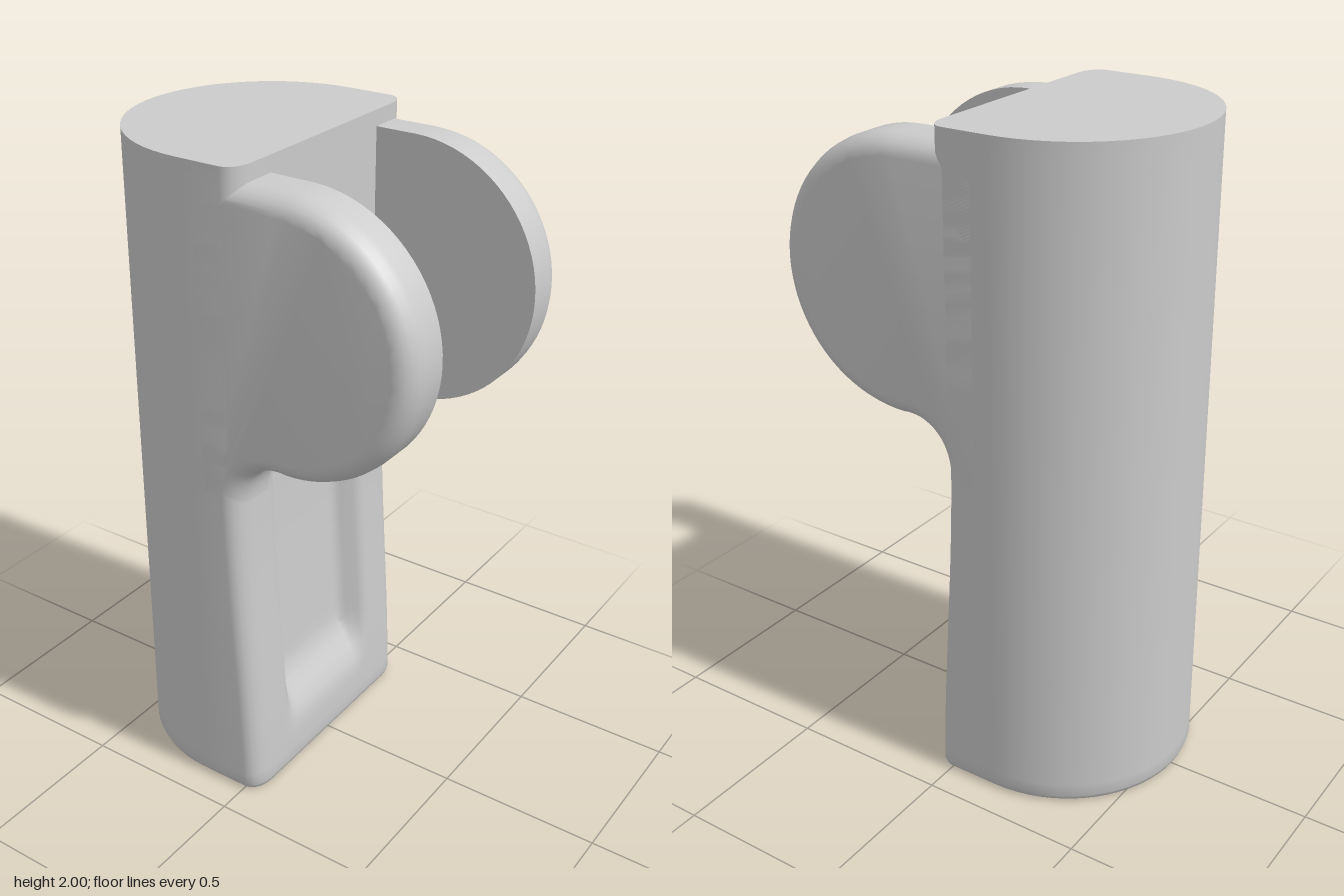
import * as THREE from 'three';
import { mergeVertices, toCreasedNormals } from 'three/addons/utils/BufferGeometryUtils.js';

const material = new THREE.MeshStandardMaterial({ color: 0xcccccc });
const smooth = THREE.MathUtils.smoothstep;

// Position of the flat front face: flared foot, slight step under the slot, shallow pocket
function frontX(y, z) {
  const face = 0.055 - 0.052 * smooth(y, -0.1, 1.1) + 0.027 * smooth(y, 1.06, 1.16);
  const tall = smooth(y, 0.14, 0.32) * (1 - smooth(y, 1.05, 1.155));
  const wide = 1 - smooth(Math.abs(z), 0.165, 0.225);
  return face - 0.07 * tall * wide;
}

// D-shaped section, counterclockwise seen from above
function section(y) {
  const pts = [], flat = 0.33, r = 0.07, rx = 0.05;
  const edge = frontX(y, 0.4);
  for (let i = 0; i <= 32; i++) {
    const z = flat - (2 * flat * i) / 32;
    pts.push([frontX(y, z), z]);
  }
  for (let i = 1; i <= 5; i++) {
    const a = (i / 5) * Math.PI / 2;
    pts.push([edge - rx + rx * Math.cos(a), -flat - r * Math.sin(a)]);
  }
  for (let i = 0; i <= 32; i++) {
    const a = Math.PI / 2 + (i / 32) * Math.PI;
    pts.push([-0.16 + 0.4 * Math.cos(a), -0.4 * Math.sin(a)]);
  }
  for (let i = 5; i >= 1; i--) {
    const a = (i / 5) * Math.PI / 2;
    pts.push([edge - rx + rx * Math.cos(a), flat + r * Math.sin(a)]);
  }
  return pts;
}

function bodyGeometry() {
  const levels = [0, 0.006, 0.02];
  for (let i = 1; i <= 50; i++) levels.push(0.02 + (1.98 * i) / 50);
  const pos = [], index = [];
  const n = section(0).length;
  levels.forEach((y, j) => {
    const s = [0.96, 0.985][j] ?? 1; // softened foot edge
    for (const [x, z] of section(y)) pos.push(-0.2 + (x + 0.2) * s, y, z * s);
  });
  for (let j = 0; j < levels.length - 1; j++) {
    for (let i = 0; i < n; i++) {
      const k = (i + 1) % n;
      const a = j * n + i, b = j * n + k, c = b + n, d = a + n;
      index.push(a, b, c, a, c, d);
    }
  }
  // End caps
  const top = (levels.length - 1) * n, mid = pos.length / 3;
  pos.push(-0.2, 0, 0, -0.2, 2, 0);
  for (let i = 0; i < n; i++) {
    const k = (i + 1) % n;
    index.push(mid, k, i, mid + 1, top + i, top + k);
  }
  const g = new THREE.BufferGeometry();
  g.setAttribute('position', new THREE.Float32BufferAttribute(pos, 3));
  g.setIndex(index);
  return toCreasedNormals(g, 0.75);
}

// Round cheek: flat on its inner side, rounded rim on its outer side
function cheekGeometry(side) {
  const shape = new THREE.Shape();
  shape.moveTo(-0.16, 0.95);
  shape.lineTo(0, 0.95);
  shape.lineTo(0.004, 1.02);
  shape.bezierCurveTo(0.01, 1.11, 0.06, 1.155, 0.14, 1.155);
  shape.absarc(0.155, 1.553, 0.4, -Math.PI / 2, Math.PI / 2, false);
  shape.lineTo(-0.16, 1.953);
  const g = new THREE.ExtrudeGeometry(shape, {
    depth: 0.08, bevelThickness: 0.07, bevelSize: 0.055, bevelOffset: -0.055,
    bevelSegments: 5, curveSegments: 20,
  });
  g.deleteAttribute('uv');
  g.deleteAttribute('normal');
  const p = g.attributes.position;
  for (let i = 0; i < p.count; i++) p.setZ(i, side * (0.25 + Math.max(0, p.getZ(i))));
  const welded = mergeVertices(g, 1e-4);
  if (side < 0) {
    const idx = welded.index;
    for (let i = 0; i < idx.count; i += 3) {
      const b = idx.getX(i + 1);
      idx.setX(i + 1, idx.getX(i + 2));
      idx.setX(i + 2, b);
    }
  }
  return toCreasedNormals(welded, 0.75);
}

export function createModel() {
  const group = new THREE.Group();
  const add = (name, geometry) => {
    const mesh = new THREE.Mesh(geometry, material);
    mesh.name = name;
    group.add(mesh);
  };
  add('body', bodyGeometry());
  add('frontCheek', cheekGeometry(1));
  add('backCheek', cheekGeometry(-1));
  return group;
}
